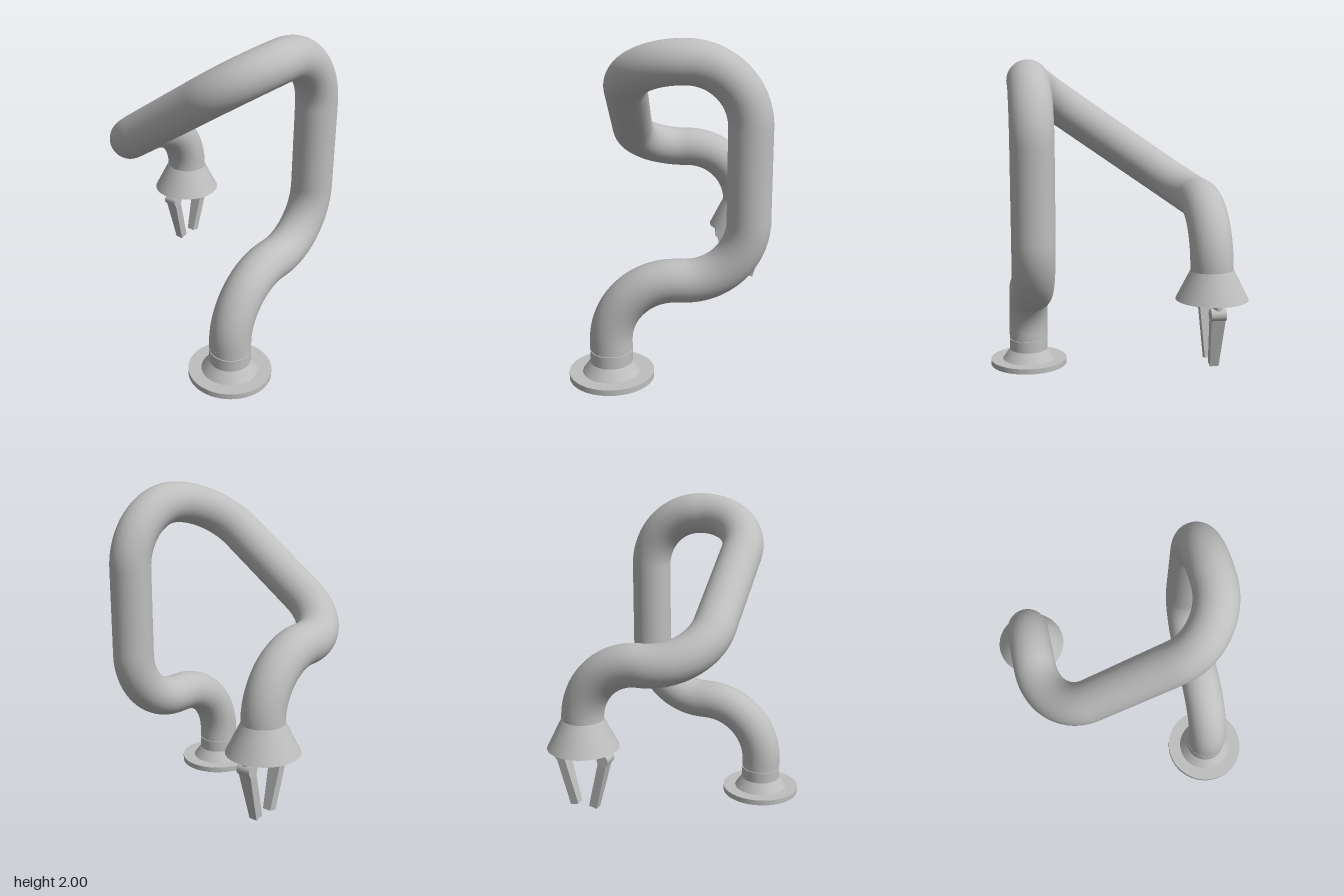
import * as THREE from 'three';

const RADIUS = 0.126;
const v = (x, y, z) => new THREE.Vector3(x, y, z);

// Straight runs joined by quarter bends: each corner is [point, bend radius]
function bentPath(start, corners, end) {
  const path = new THREE.CurvePath();
  const k = 0.5523;
  let from = start;
  corners.forEach(([c, r], i) => {
    const prev = i ? corners[i - 1][0] : start;
    const next = i < corners.length - 1 ? corners[i + 1][0] : end;
    const a = c.clone().add(prev.clone().sub(c).setLength(r));
    const b = c.clone().add(next.clone().sub(c).setLength(r));
    path.add(new THREE.LineCurve3(from, a));
    path.add(new THREE.CubicBezierCurve3(a, a.clone().lerp(c, k), b.clone().lerp(c, k), b));
    from = b;
  });
  path.add(new THREE.LineCurve3(from, end));
  return path;
}

export function createModel() {
  const model = new THREE.Group();
  model.name = 'robotArm';
  const metal = new THREE.MeshStandardMaterial({ color: 0xbebebe });
  metal.name = 'grey metal';

  const add = (parent, name, geometry, x = 0, y = 0, z = 0) => {
    const mesh = new THREE.Mesh(geometry, metal);
    mesh.name = name;
    mesh.position.set(x, y, z);
    parent.add(mesh);
    return mesh;
  };
  // Round section between two heights
  const ring = (parent, name, rTop, rBottom, y0, y1, sides = 64) =>
    add(parent, name, new THREE.CylinderGeometry(rTop, rBottom, y1 - y0, sides), 0, (y0 + y1) / 2, 0);

  // Base
  const base = new THREE.Group();
  base.name = 'base';
  base.position.set(0.505, 0, 0.382);
  model.add(base);
  ring(base, 'baseFlange', 0.252, 0.252, 0, 0.035);
  ring(base, 'baseCone', 0.126, 0.172, 0.035, 0.1);
  ring(base, 'baseCollar', 0.126, 0.126, 0.1, 0.174);
  ring(base, 'baseGroove', 0.12, 0.12, 0.174, 0.182);
  ring(base, 'baseJointRing', 0.126, 0.126, 0.182, 0.21);

  // Arm: one continuous bent tube from the base to the wrist
  const path = bentPath(v(0.505, 0.2, 0.382), [
    [v(0.505, 0.61, 0.382), 0.38],
    [v(0.505, 0.61, -0.413), 0.365],
    [v(0.505, 1.874, -0.413), 0.36],
    [v(0.505, 1.874, 0.296), 0.34],
    [v(-0.535, 1.155, 0.296), 0.34],
    [v(-0.535, 1.155, -0.423), 0.37],
  ], v(-0.535, 0.78, -0.423));
  add(model, 'armTube', new THREE.TubeGeometry(path, 260, RADIUS, 48, false));

  // Wrist and gripper
  const gripper = new THREE.Group();
  gripper.name = 'gripper';
  gripper.position.set(-0.538, 0, -0.423);
  model.add(gripper);
  ring(gripper, 'wristCone', 0.126, 0.215, 0.61, 0.787);

  // Finger blade narrows towards its tip
  const blade = new THREE.BoxGeometry(0.086, 0.33, 0.052);
  const p = blade.attributes.position;
  for (let i = 0; i < p.count; i++) if (p.getY(i) < 0) p.setX(i, p.getX(i) * 0.6);
  blade.translate(0, -0.165, 0);
  blade.computeVertexNormals();

  for (const side of [-1, 1]) {
    const finger = new THREE.Group();
    finger.name = side < 0 ? 'backFinger' : 'frontFinger';
    finger.position.set(0, 0.55, side * 0.143);
    gripper.add(finger);
    add(finger, 'fingerPin', new THREE.CylinderGeometry(0.025, 0.025, 0.06, 24), 0, 0.032, 0);
    add(finger, 'fingerHinge', new THREE.CylinderGeometry(0.036, 0.036, 0.09, 32)).rotation.z = Math.PI / 2;
    add(finger, 'fingerBlade', blade).rotation.x = side * 0.25;
  }
  return model;
}
